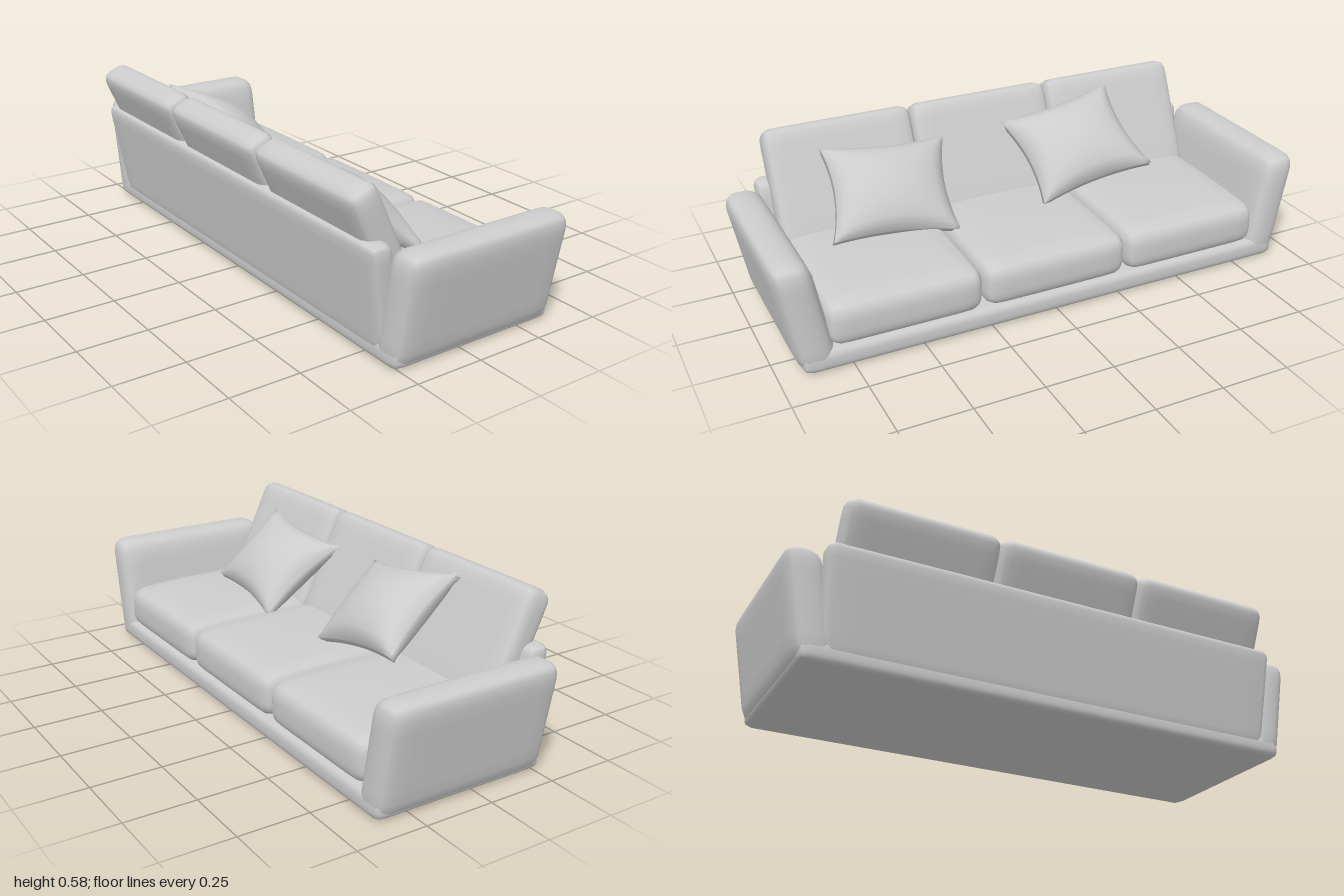
import * as THREE from 'three';
import { mergeVertices } from 'three/addons/utils/BufferGeometryUtils.js';

const material = new THREE.MeshStandardMaterial({ color: 0xcccccc });
const { clamp } = THREE.MathUtils;

// Moves every vertex by a rule, then welds the seams for smooth shading
function reshape(geometry, rule) {
  const pos = geometry.attributes.position;
  const v = new THREE.Vector3();
  for (let i = 0; i < pos.count; i++) {
    v.fromBufferAttribute(pos, i);
    rule(v);
    pos.setXYZ(i, v.x, v.y, v.z);
  }
  geometry.deleteAttribute('normal');
  geometry.deleteAttribute('uv');
  const welded = mergeVertices(geometry, 1e-4);
  welded.computeVertexNormals();
  return welded;
}

// Upholstered block with rounded edges; vertices gather near the edges
function softBox(w, h, d, r, rule = () => {}) {
  const half = new THREE.Vector3(w / 2, h / 2, d / 2);
  const core = half.clone().subScalar(r);
  const c = new THREE.Vector3();
  return reshape(new THREE.BoxGeometry(2, 2, 2, 12, 12, 12), (v) => {
    for (const k of ['x', 'y', 'z']) {
      v[k] = Math.sin(v[k] * Math.PI / 2) * half[k];
      c[k] = clamp(v[k], -core[k], core[k]);
    }
    v.sub(c).setLength(r).add(c);
    rule(v);
  });
}

// Throw pillow stretched between four corners, with pinched sides
function pillowGeometry(corners, thickness) {
  const [tl, tr, br, bl] = corners.map((p) => new THREE.Vector3(...p));
  const across = tr.clone().add(br).sub(tl).sub(bl);
  const up = tl.clone().add(tr).sub(bl).sub(br);
  const normal = across.cross(up).normalize();
  return reshape(new THREE.BoxGeometry(2, 2, 2, 18, 18, 2), (v) => {
    const { x, y, z } = v;
    const puff = Math.pow((1 - x * x) * (1 - y * y), 0.55);
    const rim = 1 - 0.02 * (1 - Math.abs(z));
    const s = (1 + x * (1 - 0.13 * (1 - y * y)) * rim) / 2;
    const t = (1 + y * (1 - 0.11 * (1 - x * x)) * rim) / 2;
    const low = bl.clone().lerp(br, s);
    const high = tl.clone().lerp(tr, s);
    v.copy(low.lerp(high, t)).addScaledVector(normal, z * (0.012 + thickness * puff));
  });
}

export function createModel() {
  const sofa = new THREE.Group();
  sofa.name = 'sofa';
  const add = (name, geometry, x = 0, y = 0, z = 0) => {
    const mesh = new THREE.Mesh(geometry, material);
    mesh.name = name;
    mesh.position.set(x, y, z);
    sofa.add(mesh);
    return mesh;
  };

  // Base platform
  add('base', softBox(0.65, 0.08, 1.84, 0.03), 0.05, 0.04, 0);

  // Arms leaning outward
  for (const side of [-1, 1]) {
    add('arm', softBox(0.652, 0.402, 0.135, 0.055, (v) => {
      v.z += side * v.y * 0.185;
    }), 0.05, 0.201, side * 0.896);
  }

  // Backrest frame leaning backward
  add('backFrame', softBox(0.09, 0.39, 1.75, 0.035, (v) => {
    v.x -= v.y * 0.17;
    v.z *= 1 + 0.08 * (v.y - 0.195);
  }), -0.258, 0.212, 0);

  for (const z of [-0.553, 0, 0.553]) {
    // Seat cushion, slightly crowned and lower toward the front
    add('seatCushion', softBox(0.62, 0.16, 0.552, 0.055, (v) => {
      const a = v.x / 0.31, b = v.z / 0.276;
      v.y *= 1 + 0.09 * (1 - a * a) * (1 - b * b);
      v.y -= 0.012 * Math.max(0, a) ** 2;
    }), 0.063, 0.16, z);

    // Back cushion leaning backward
    const back = add('backCushion', softBox(0.114, 0.44, 0.552, 0.042), -0.238, 0.372, z);
    back.rotation.z = THREE.MathUtils.degToRad(24.5);
  }

  // Throw pillows
  add('throwPillow', pillowGeometry([
    [-0.23, 0.505, 0.645], [-0.23, 0.465, 0.175], [0.06, 0.225, 0.235], [0.015, 0.255, 0.69],
  ], 0.075));
  add('throwPillow', pillowGeometry([
    [-0.23, 0.475, -0.06], [-0.24, 0.55, -0.515], [0.06, 0.325, -0.555], [0.05, 0.245, -0.105],
  ], 0.08));

  return sofa;
}
